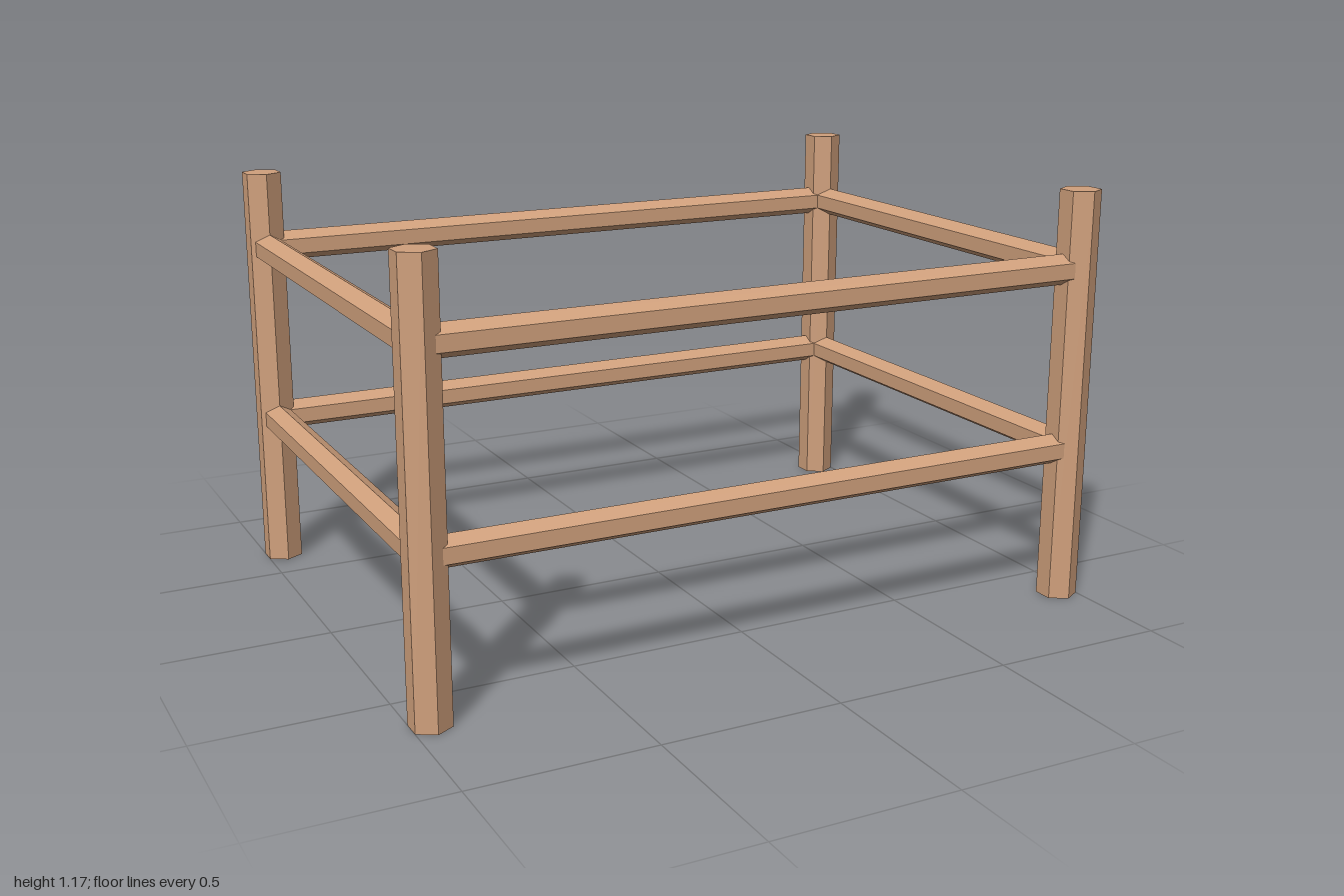
import * as THREE from 'three';

const POST_X = 0.951, POST_Z = 0.658, POST_H = 1.17, POST_R = 0.0565;
const RAIL_R = 0.043, RAIL_HEIGHTS = [0.44, 0.952];

export function createModel() {
  const model = new THREE.Group();
  model.name = 'postAndRailFrame';

  const wood = new THREE.MeshStandardMaterial({ color: 0xd0a07c, flatShading: true });
  wood.name = 'tan wood';

  const add = (name, geometry, x, y, z) => {
    const mesh = new THREE.Mesh(geometry, wood);
    mesh.name = name;
    mesh.position.set(x, y, z);
    model.add(mesh);
  };

  // Hexagonal posts, with a corner edge facing front and back
  const post = new THREE.CylinderGeometry(POST_R, POST_R, POST_H, 6);
  // Hexagonal rails, lying with an edge on top
  const sideRail = new THREE.CylinderGeometry(RAIL_R, RAIL_R, 2 * POST_Z, 6).rotateX(Math.PI / 2);
  const longRail = new THREE.CylinderGeometry(RAIL_R, RAIL_R, 2 * POST_X, 6)
    .rotateX(Math.PI / 2).rotateY(Math.PI / 2);

  for (const s of [-1, 1]) {
    const side = s > 0 ? 'left' : 'right';
    const end = s > 0 ? 'front' : 'back';

    add(`${side}FrontPost`, post, s * POST_X, POST_H / 2, POST_Z);
    add(`${side}BackPost`, post, s * POST_X, POST_H / 2, -POST_Z);

    // Lower and upper rails, running between post centres
    RAIL_HEIGHTS.forEach((y, i) => {
      const level = i ? 'Upper' : 'Lower';
      add(`${side}${level}Rail`, sideRail, s * POST_X, y, 0);
      add(`${end}${level}Rail`, longRail, 0, y, s * POST_Z);
    });
  }
  return model;
}
